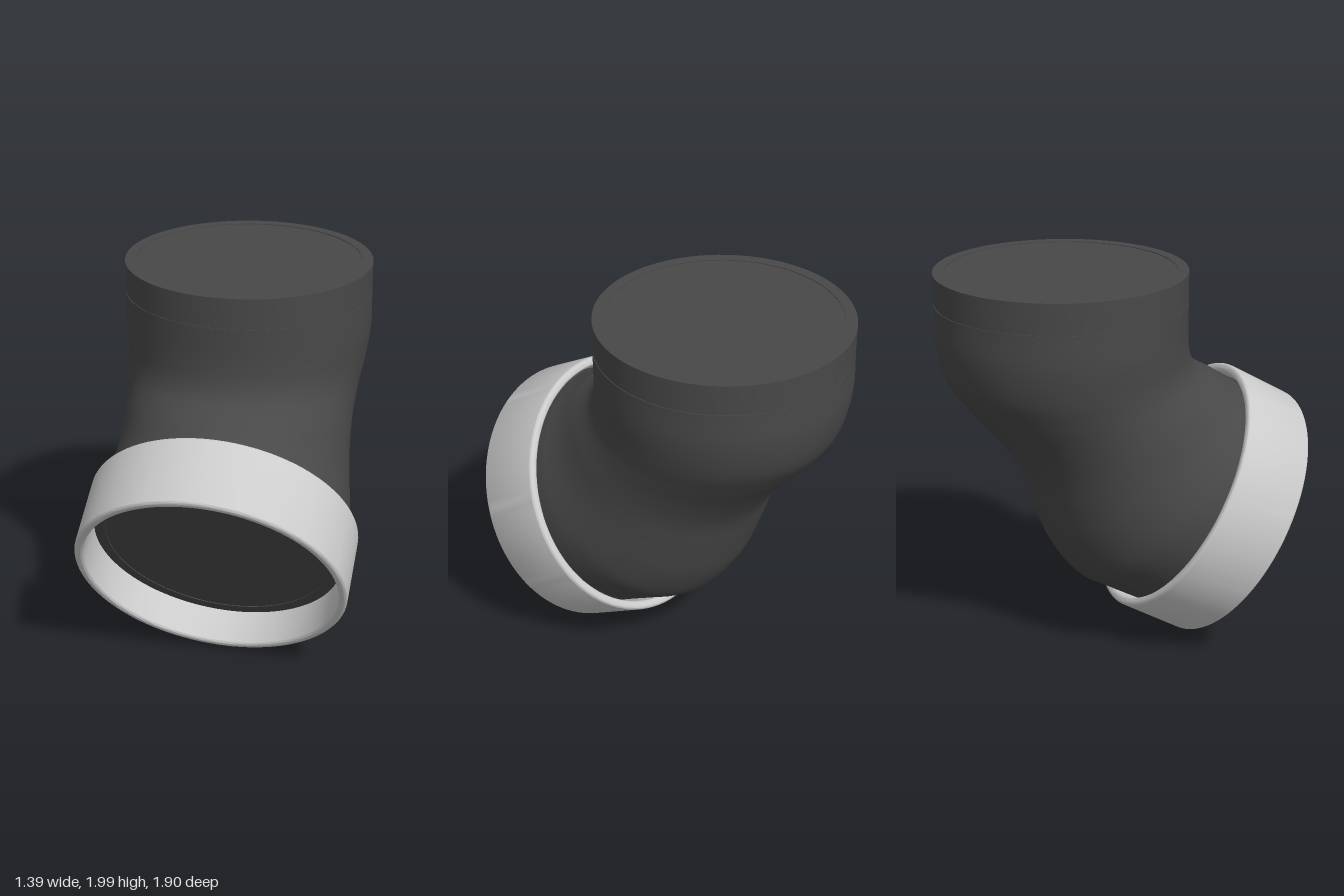
import * as THREE from 'three';
import { mergeVertices, toCreasedNormals } from 'three/addons/utils/BufferGeometryUtils.js';

const R = 0.637;          // pipe radius
const COLLAR = 0.157;     // length of each end collar
const TILT = THREE.MathUtils.degToRad(120); // turns +y to forward and down

const dark = new THREE.MeshStandardMaterial({ color: 0x484848 });
const grey = new THREE.MeshStandardMaterial({ color: 0xcccccc });

// Bent pipe stations: [front z, front y, back z, back y, half width]
const stations = [
  [0.325, 2 - COLLAR, -0.95, 2 - COLLAR, R],
  [0.325, 1.65, -0.95, 1.65, R],
  [0.340, 1.55, -0.905, 1.46, 0.618],
  [0.370, 1.49, -0.80, 1.31, 0.60],
  [0.410, 1.455, -0.66, 1.14, 0.59],
  [0.450, 1.43, -0.55, 0.97, 0.59],
  [0.490, 1.41, -0.48, 0.77, 0.595],
  [0.530, 1.385, -0.40, 0.56, 0.61],
  [0.570, 1.36, -0.27, 0.375, 0.63],
  [0.597, 1.344, -0.14, 0.297, R],
  [0.624, 1.328, -0.012, 0.226, R],
];

// Open cylinder whose rows follow the front and back outlines
function bentPipe() {
  const front = new THREE.CatmullRomCurve3(stations.map(s => new THREE.Vector3(s[4], s[1], s[0])));
  const back = new THREE.CatmullRomCurve3(stations.map(s => new THREE.Vector3(s[4], s[3], s[2])));
  let geo = new THREE.CylinderGeometry(1, 1, 1, 96, 60, true);
  const p = geo.attributes.position;
  for (let i = 0; i < p.count; i++) {
    const t = THREE.MathUtils.clamp(0.5 - p.getY(i), 0, 1);
    const f = front.getPoint(t), b = back.getPoint(t);
    const k = (p.getZ(i) + 1) / 2;
    p.setXYZ(i, p.getX(i) * f.x, b.y + (f.y - b.y) * k, b.z + (f.z - b.z) * k);
  }
  geo.deleteAttribute('uv');
  geo.deleteAttribute('normal');
  geo = mergeVertices(geo, 1e-5);
  geo.computeVertexNormals();
  return geo;
}

function lathe(points) {
  return toCreasedNormals(new THREE.LatheGeometry(points, 96), 0.6);
}

// Closed pipe end with a fine groove below it and a seam round the lid; outer face at y = 0
function endCollar() {
  const profile = [
    [R, -COLLAR], [R - 0.004, -COLLAR], [R - 0.004, -COLLAR + 0.006], [R, -COLLAR + 0.006],
    [R, 0], [0.58, 0], [0.58, -0.004], [0, -0.004],
  ];
  return lathe(profile.map(([r, y]) => new THREE.Vector2(r, y)));
}

// Band with rounded edges; outer face at y = 0
function ring(inner, outer, length, round) {
  const shape = new THREE.Shape();
  const corner = (r, y, quarter) =>
    shape.absarc(r, y, round, quarter * Math.PI / 2, (quarter + 1) * Math.PI / 2, false);
  corner(inner + round, -length + round, 2);
  corner(outer - round, -length + round, 3);
  corner(outer - round, -round, 0);
  corner(inner + round, -round, 1);
  shape.closePath();
  return lathe(shape.getPoints(5));
}

export function createModel() {
  const model = new THREE.Group();
  const add = (name, geo, mat, y = 0, z = 0, tilt = 0) => {
    const mesh = new THREE.Mesh(geo, mat);
    mesh.name = name;
    mesh.position.set(0, y, z);
    mesh.rotation.x = tilt;
    model.add(mesh);
  };

  add('pipeElbow', bentPipe(), dark);
  add('upperCollar', endCollar(), dark, 2, -0.3125);
  add('lowerCollar', endCollar(), dark, 0.70, 0.442, TILT);
  add('clampRing', ring(0.65, 0.697, 0.383, 0.018), grey, 0.605, 0.604, TILT);
  return model;
}
